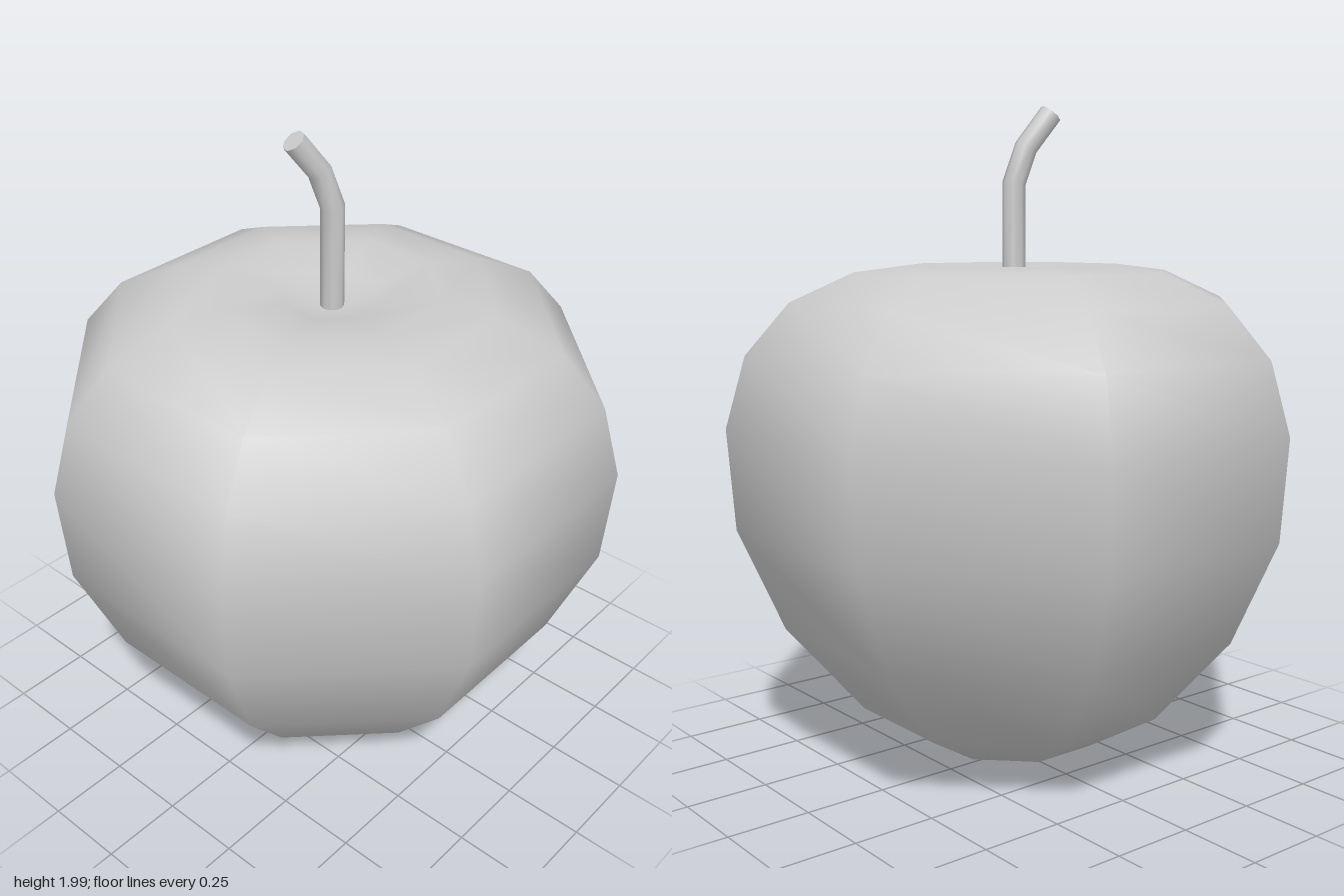
import * as THREE from 'three';
import { mergeVertices } from 'three/addons/utils/BufferGeometryUtils.js';

const SIDES = 8;

// Polyline path whose samples land exactly on its corners
class Polyline extends THREE.Curve {
  constructor(points) {
    super();
    this.points = points;
  }
  getPointAt(u) {
    return this.points[Math.round(u * (this.points.length - 1))].clone();
  }
  getTangentAt(u) {
    const p = this.points, i = Math.round(u * (p.length - 1));
    const tangent = new THREE.Vector3();
    if (i > 0) tangent.add(p[i].clone().sub(p[i - 1]).normalize());
    if (i < p.length - 1) tangent.add(p[i + 1].clone().sub(p[i]).normalize());
    return tangent.normalize();
  }
}

export function createModel() {
  const group = new THREE.Group();
  group.name = 'apple';
  const material = new THREE.MeshStandardMaterial({ color: 0xcccccc });

  // Fruit: eight-sided lathe; radii are measured to the middle of each side
  const profile = [
    [0, 0.005], [0.24, 0.065], [0.44, 0.19], [0.655, 0.46], [0.78, 0.77],
    [0.8, 1.07], [0.745, 1.28], [0.625, 1.43], [0.45, 1.515], [0.3, 1.535],
    [0.14, 1.5], [0, 1.46],
  ].map(([r, y]) => new THREE.Vector2(r / Math.cos(Math.PI / SIDES), y));
  let fruitGeometry = new THREE.LatheGeometry(profile, SIDES, Math.PI / SIDES);
  fruitGeometry.deleteAttribute('uv');
  fruitGeometry.deleteAttribute('normal');
  fruitGeometry = mergeVertices(fruitGeometry, 1e-4);
  fruitGeometry.computeVertexNormals();
  const fruit = new THREE.Mesh(fruitGeometry, material);
  fruit.name = 'fruit';
  group.add(fruit);

  // Stem: bent tube with a flat cut end
  const path = new Polyline([
    new THREE.Vector3(0, 1.42, 0),
    new THREE.Vector3(0.005, 1.775, 0.003),
    new THREE.Vector3(-0.015, 1.88, 0.033),
    new THREE.Vector3(-0.043, 1.98, 0.105),
  ]);
  const radius = 0.035;
  const stem = new THREE.Mesh(new THREE.TubeGeometry(path, 3, radius, SIDES), material);
  stem.name = 'stem';
  group.add(stem);

  // Cut end: disc in the tube's last cross-section frame
  const frames = path.computeFrenetFrames(3);
  const endGeometry = new THREE.CircleGeometry(radius, SIDES);
  endGeometry.applyMatrix4(new THREE.Matrix4()
    .makeBasis(frames.normals[3], frames.binormals[3], frames.tangents[3])
    .setPosition(path.getPointAt(1)));
  const stemEnd = new THREE.Mesh(endGeometry, material);
  stemEnd.name = 'stemEnd';
  group.add(stemEnd);

  return group;
}
